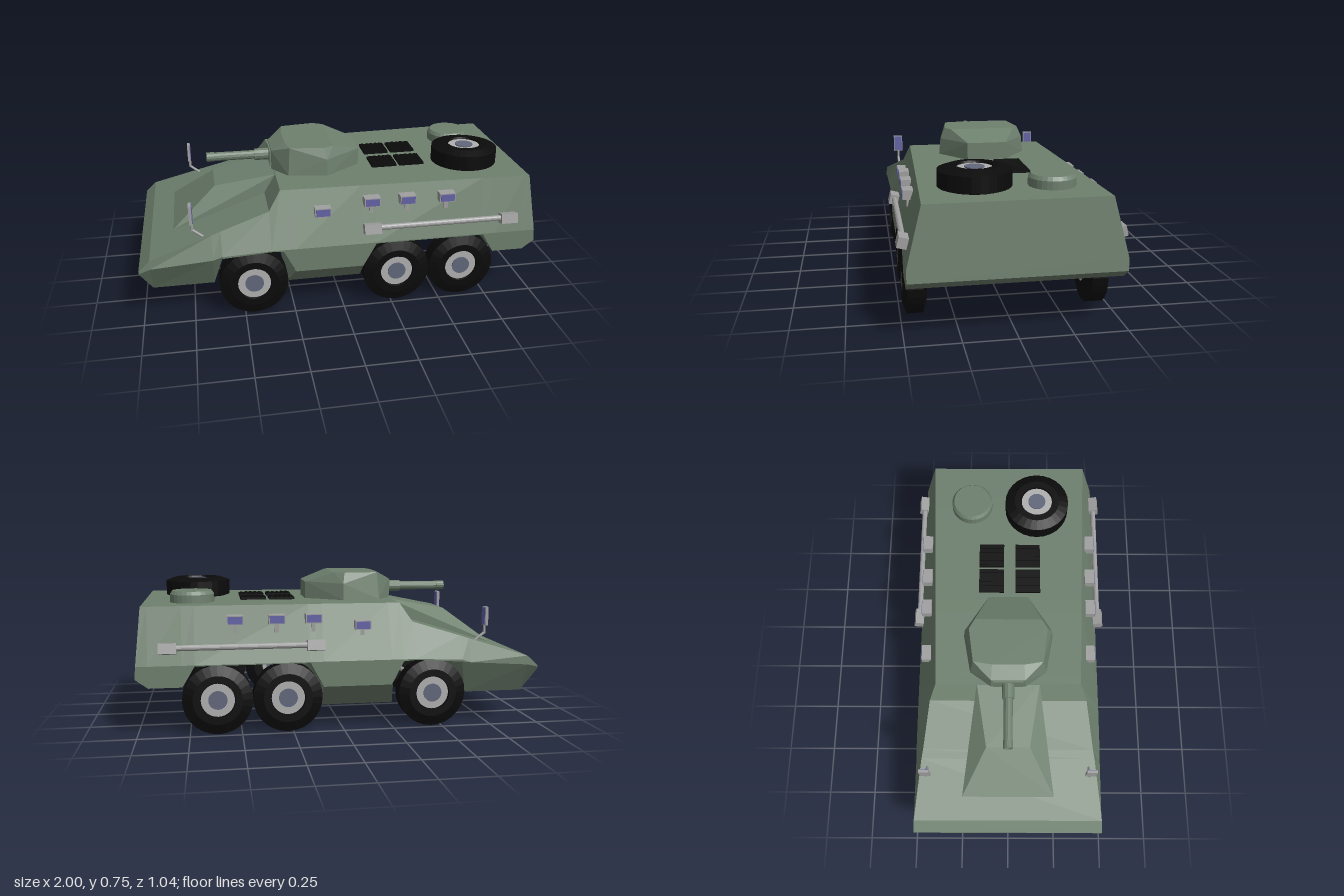
import * as THREE from 'three';
import { ConvexGeometry } from 'three/addons/geometries/ConvexGeometry.js';

const mat = (color, flatShading = true) => new THREE.MeshStandardMaterial({ color, flatShading });
const GREEN = mat(0x6e806e), BLACK = mat(0x0b0b0b), GREY = mat(0xa0a0a0), RIM = mat(0xb0b0b0, false);
const HUB = mat(0x62687c), GLASS = mat(0x6464a8);

function add(parent, name, geometry, material, x = 0, y = 0, z = 0) {
  const mesh = new THREE.Mesh(geometry, material);
  mesh.name = name;
  mesh.position.set(x, y, z);
  parent.add(mesh);
  return mesh;
}
const box = (w, h, d) => new THREE.BoxGeometry(w, h, d);
const cyl = (r, h, n = 16, r2 = r) => new THREE.CylinderGeometry(r2, r, h, n);

// Convex solid from points given for one side and mirrored across z = 0
const mirroredSolid = (pts) => new ConvexGeometry(pts.flatMap(([x, y, z]) =>
  [new THREE.Vector3(x, y, z), new THREE.Vector3(x, y, -z)]));

// Cylinder running from a to b
function rod(parent, name, a, b, r, material = GREY) {
  const A = new THREE.Vector3(...a), B = new THREE.Vector3(...b);
  const dir = B.clone().sub(A);
  const mesh = add(parent, name, cyl(r, dir.length(), 12), material);
  mesh.position.copy(A).add(B).multiplyScalar(0.5);
  mesh.quaternion.setFromUnitVectors(new THREE.Vector3(0, 1, 0), dir.normalize());
  return mesh;
}

// Hull skin: each station has bottom, belt and top corners [x, y, z]
function hullGeometry() {
  const W = 0.485;
  const st = (x, yb, zb, ybelt, yt, zt) => [[x, yb, zb], [x, ybelt, W], [x, yt, zt]];
  const stations = [
    st(-1, 0.28, W, 0.287, 0.294, W),
    st(-0.945, 0.15, 0.40, 0.3, 0.345, 0.482),
    st(-0.645, 0.15, 0.40, 0.32, 0.436, 0.445),
    st(-0.6, 0.325, W, 0.335, 0.45, 0.437),
    st(-0.36, 0.34, W, 0.345, 0.522, 0.405),
    st(-0.3, 0.335, W, 0.345, 0.615, 0.37),
    st(-0.24, 0.22, W, 0.345, 0.615, 0.372),
    st(0.1, 0.22, W, 0.345, 0.617, 0.384),
    st(0.165, 0.34, W, 0.345, 0.617, 0.386),
    st(0.72, 0.34, W, 0.345, 0.62, 0.406),
    st(0.78, 0.24, W, 0.345, 0.62, 0.408),
    st(0.94, 0.24, W, 0.345, 0.62, 0.414),
    [[1, 0.285, W], [0.995, 0.345, W], [0.97, 0.62, 0.415]],
  ];
  const rings = stations.map((s) => [...s, ...[...s].reverse().map(([x, y, z]) => [x, y, -z])]);
  const pos = [];
  const tri = (a, b, c) => pos.push(...a, ...b, ...c);
  for (let i = 0; i < rings.length - 1; i++) {
    const p = rings[i], q = rings[i + 1];
    for (let j = 0; j < 6; j++) {
      const k = (j + 1) % 6;
      tri(p[j], q[j], q[k]);
      tri(p[j], q[k], p[k]);
    }
  }
  const first = rings[0], last = rings.at(-1);
  for (let j = 1; j < 5; j++) {
    tri(first[0], first[j], first[j + 1]);
    tri(last[0], last[j + 1], last[j]);
  }
  const g = new THREE.BufferGeometry();
  g.setAttribute('position', new THREE.Float32BufferAttribute(pos, 3));
  g.computeVertexNormals();
  return g;
}

// Wheel with its axis on y and its outer face upward
function makeWheel(name) {
  const wheel = new THREE.Group();
  wheel.name = name;
  const profile = [[0.07, -0.055], [0.12, -0.055], [0.17, -0.038], [0.17, 0.038], [0.12, 0.055],
    [0.085, 0.055], [0.08, 0.04], [0.08, -0.04], [0.07, -0.055]];
  add(wheel, 'tyre', new THREE.LatheGeometry(profile.map((p) => new THREE.Vector2(...p)), 28), BLACK);
  add(wheel, 'rim', cyl(0.083, 0.09, 28), RIM);
  add(wheel, 'hub', cyl(0.046, 0.1, 20), HUB);
  return wheel;
}

// Periscope: local +z points outward
function makePeriscope() {
  const g = new THREE.Group();
  g.name = 'periscope';
  add(g, 'periscopeHousing', box(0.08, 0.045, 0.05), GREY);
  add(g, 'periscopeGlass', box(0.07, 0.036, 0.006), GLASS, 0, 0, 0.025);
  add(g, 'periscopeStem', box(0.02, 0.05, 0.02), GREY, 0, -0.04, -0.005);
  return g;
}

// Everything fixed to one flank, built for the +z side
function makeFlank(s) {
  const flank = new THREE.Group();
  flank.name = s > 0 ? 'rightFlank' : 'leftFlank';
  for (const [x, y, z] of [[-0.1, 0.515, 0.43], [0.145, 0.553, 0.435], [0.325, 0.553, 0.437], [0.525, 0.553, 0.442]]) {
    const p = makePeriscope();
    p.position.set(x, y, z * s);
    if (s < 0) p.rotation.y = Math.PI;
    flank.add(p);
  }
  // Side rail
  rod(flank, 'sideRail', [0.14, 0.43, 0.487 * s], [0.85, 0.43, 0.487 * s], 0.014);
  for (const x of [0.14, 0.845])
    add(flank, 'railBracket', box(0.085, 0.05, 0.045), GREY, x, 0.428, 0.49 * s).rotation.x = -0.25 * s;
  // Rear-view mirror
  const z = 0.415 * s;
  rod(flank, 'mirrorArm', [-0.685, 0.42, z], [-0.735, 0.46, z], 0.007);
  rod(flank, 'mirrorPost', [-0.735, 0.455, z], [-0.735, 0.51, z], 0.007);
  add(flank, 'mirrorFrame', box(0.014, 0.095, 0.052), GREY, -0.738, 0.545, z);
  add(flank, 'mirrorGlass', box(0.005, 0.085, 0.045), GLASS, -0.73, 0.545, z);
  return flank;
}

export function createModel() {
  const model = new THREE.Group();
  model.name = 'armouredVehicle';

  // Hull, belly and driver's hood
  add(model, 'hull', hullGeometry(), GREEN);
  add(model, 'bellyTub', mirroredSolid([[-0.27, 0.1, 0.36], [0.11, 0.1, 0.36],
    [-0.245, 0.222, 0.485], [0.1, 0.222, 0.485]]), GREEN);
  add(model, 'driverHood', mirroredSolid([[-0.83, 0.382, 0.235], [-0.61, 0.552, 0.11], [-0.295, 0.614, 0.16],
    [-0.34, 0.53, 0.17], [-0.295, 0.5, 0.16]]), GREEN);

  // Turret and gun
  const turret = new THREE.Group();
  turret.name = 'turret';
  model.add(turret);
  add(turret, 'turretShell', mirroredSolid([
    [-0.31, 0.615, 0.09], [-0.235, 0.615, 0.195], [-0.04, 0.615, 0.23], [0.145, 0.615, 0.1],
    [-0.31, 0.715, 0.085], [0.145, 0.705, 0.1], [-0.04, 0.7, 0.222],
    [-0.24, 0.755, 0.08], [-0.225, 0.755, 0.175], [-0.05, 0.755, 0.198], [0, 0.755, 0.17]]), GREEN);
  add(turret, 'gunShield', box(0.012, 0.08, 0.15), GREEN, -0.312, 0.668, 0);
  rod(turret, 'gunCollar', [-0.39, 0.668, 0], [-0.3, 0.668, 0], 0.031, GREEN);
  rod(turret, 'gunBarrel', [-0.625, 0.668, 0], [-0.38, 0.668, 0], 0.023, GREEN);
  const muzzle = new THREE.LatheGeometry([[0.016, 0], [0.025, 0], [0.025, 0.04], [0.016, 0.04], [0.016, 0]]
    .map((p) => new THREE.Vector2(...p)), 14);
  add(turret, 'muzzle', muzzle, GREEN, -0.6, 0.668, 0).rotation.z = Math.PI / 2;

  // Roof: engine vents, hatch and spare wheel
  for (const z of [-0.09, 0.102])
    for (const x of [0.273, 0.42]) {
      add(model, 'engineVent', box(0.132, 0.016, 0.132), BLACK, x, 0.621, z);
      for (let i = -2; i <= 2; i++)
        add(model, 'ventSlat', box(0.012, 0.004, 0.13), BLACK, x + i * 0.025, 0.63, z);
    }
  const hatch = [[0.11, 0], [0.11, 0.045], [0.098, 0.062], [0, 0.062]].map((p) => new THREE.Vector2(...p));
  add(model, 'roofHatch', new THREE.LatheGeometry(hatch, 28), GREEN, 0.73, 0.615, -0.2);
  const spare = makeWheel('spareWheel');
  spare.position.set(0.705, 0.664, 0.152);
  model.add(spare);

  // Road wheels and axles
  for (const x of [-0.45, 0.275, 0.615]) {
    rod(model, 'axle', [x, 0.168, -0.4], [x, 0.168, 0.4], 0.013);
    for (const s of [-1, 1]) {
      const wheel = makeWheel('roadWheel');
      wheel.position.set(x, 0.17, 0.432 * s);
      wheel.rotation.x = (Math.PI / 2) * s;
      model.add(wheel);
    }
  }

  model.add(makeFlank(1), makeFlank(-1));
  return model;
}
